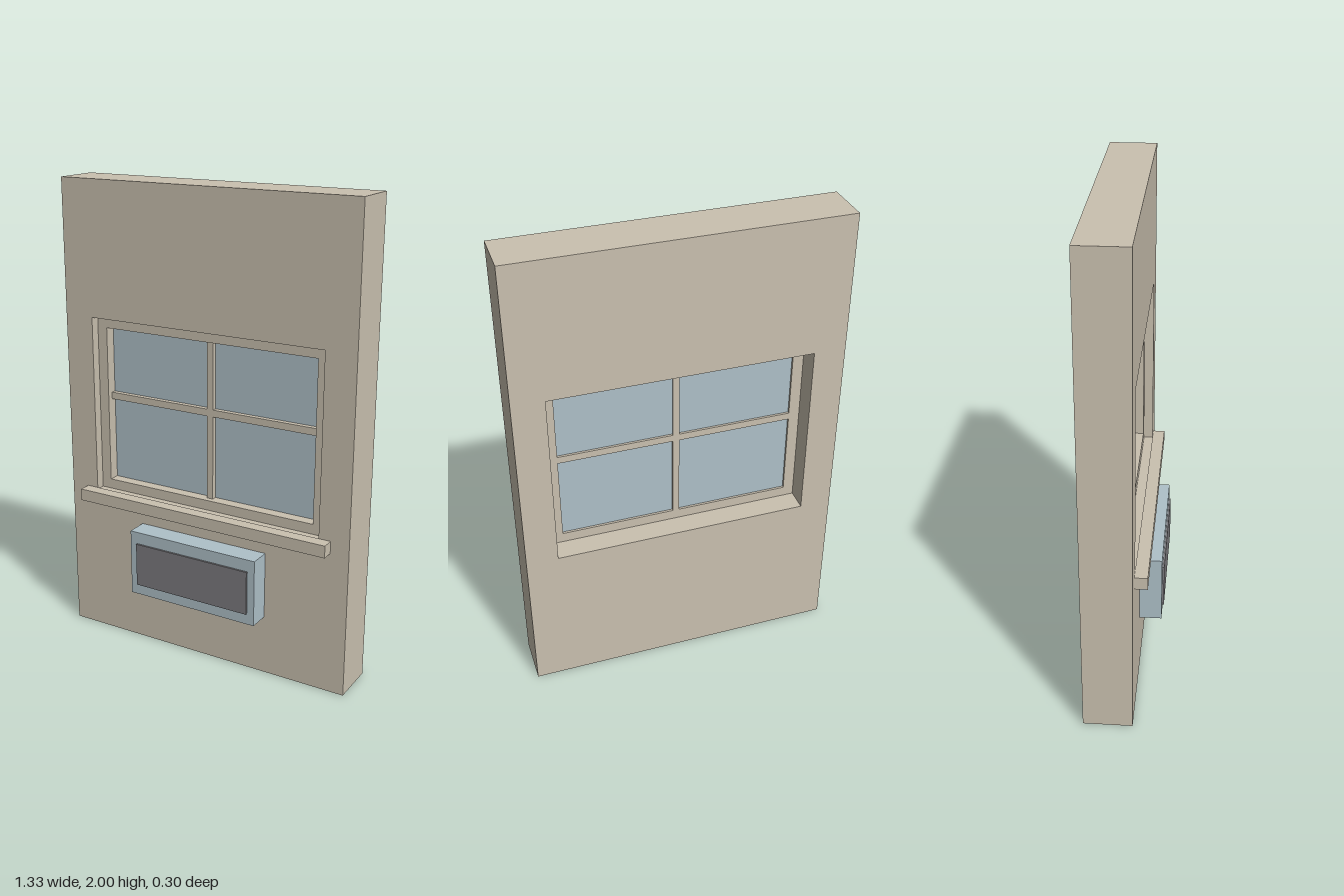
import * as THREE from 'three';

export function createModel() {
  const model = new THREE.Group();
  model.name = 'wallWithWindow';

  const mat = (name, color) => {
    const m = new THREE.MeshStandardMaterial({ color });
    m.name = name;
    return m;
  };
  const stone = mat('warm beige', 0xcac1b0);
  const blue = mat('pale blue', 0xafc1c9);
  const dark = mat('dark grey', 0x7c7b7f);

  const add = (name, geometry, material) => {
    const mesh = new THREE.Mesh(geometry, material);
    mesh.name = name;
    model.add(mesh);
  };

  // Box given by its limits on each axis
  const box = (name, material, [x0, x1], [y0, y1], [z0, z1]) => {
    const g = new THREE.BoxGeometry(x1 - x0, y1 - y0, z1 - z0);
    g.translate((x0 + x1) / 2, (y0 + y1) / 2, (z0 + z1) / 2);
    add(name, g, material);
  };

  // Rectangular slab with a rectangular hole, extruded along z
  const rect = (Type, x, y0, y1) => new Type([
    new THREE.Vector2(-x, y0), new THREE.Vector2(x, y0),
    new THREE.Vector2(x, y1), new THREE.Vector2(-x, y1),
  ]);
  const ring = (name, outer, inner, z0, z1) => {
    const shape = rect(THREE.Shape, ...outer);
    shape.holes.push(rect(THREE.Path, ...inner));
    const g = new THREE.ExtrudeGeometry(shape, { depth: z1 - z0, bevelEnabled: false });
    g.translate(0, 0, z0);
    add(name, g, stone);
  };

  // Wall with the window opening, and the recessed frame inside it
  const opening = [0.535, 0.66, 1.43];
  const pane = [0.49, 0.703, 1.383];
  ring('wall', [0.667, 0, 2], opening, -0.15, 0.05);
  ring('windowFrame', opening, pane, -0.055, 0.01);

  // Glazing and its crossing bars
  box('glass', blue, [-0.49, 0.49], [0.703, 1.383], [-0.045, -0.037]);
  box('verticalBar', stone, [-0.0135, 0.0135], [0.703, 1.383], [-0.055, -0.015]);
  box('horizontalBar', stone, [-0.49, 0.49], [1.065, 1.095], [-0.055, -0.015]);

  // Projecting sill
  box('sill', stone, [-0.587, 0.587], [0.615, 0.667], [0.05, 0.102]);

  // Wall unit with its dark front grille
  box('wallUnit', blue, [-0.3, 0.3], [0.258, 0.547], [0.05, 0.142]);
  box('grille', dark, [-0.268, 0.268], [0.305, 0.495], [0.142, 0.15]);

  return model;
}
